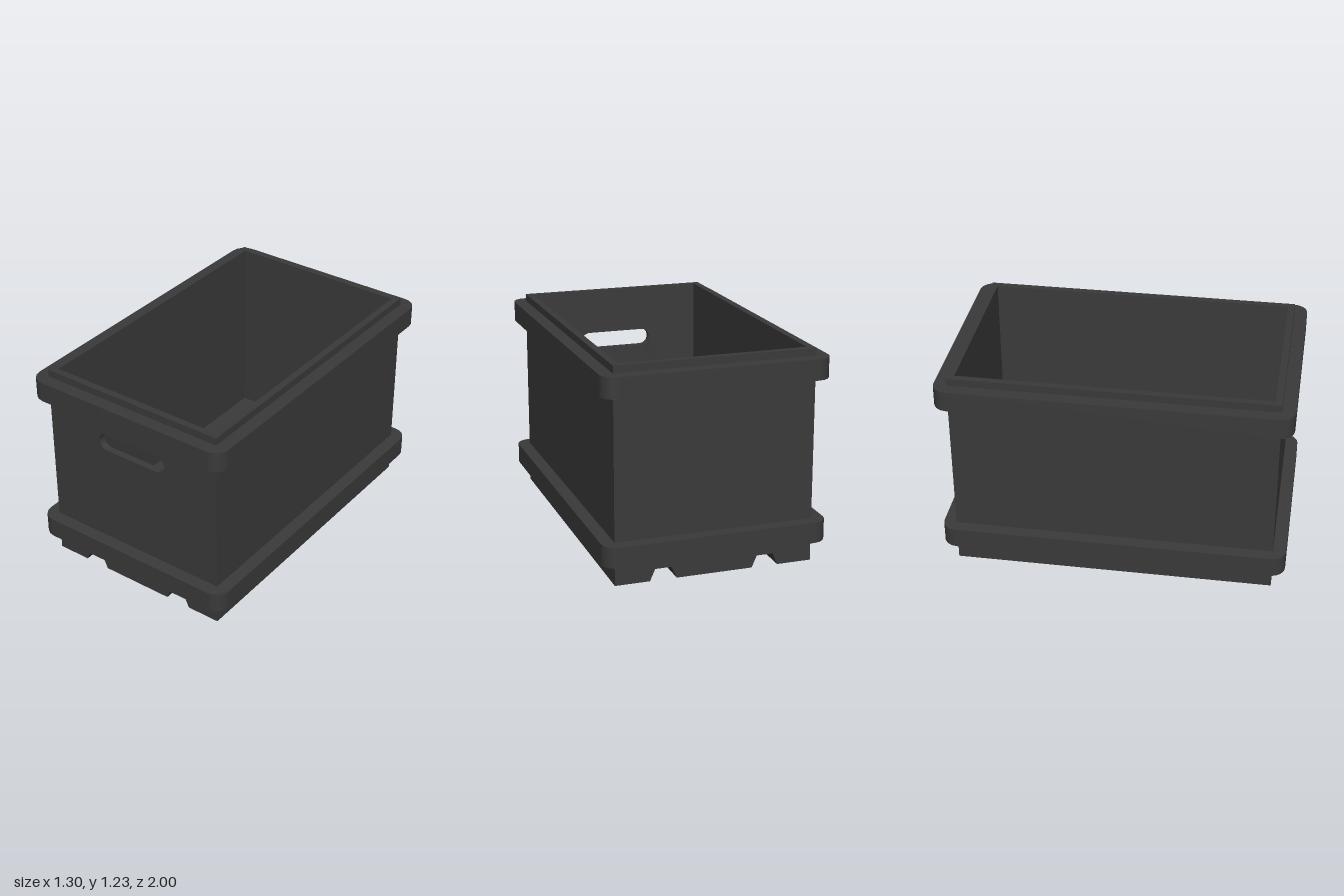
import * as THREE from 'three';

const W = 0.575, L = 0.925, H = 1.23, T = 0.04; // half width, half length, height, wall
const FLOOR = 0.13;

// Front outline with two trapezoid grooves in the underside
function outline(top) {
  const s = new THREE.Shape();
  s.moveTo(-W, 0);
  for (const c of [-0.298, 0.298]) {
    s.lineTo(c - 0.077, 0);
    s.lineTo(c - 0.047, 0.068);
    s.lineTo(c + 0.047, 0.068);
    s.lineTo(c + 0.077, 0);
  }
  s.lineTo(W, 0);
  s.lineTo(W, top);
  s.lineTo(-W, top);
  s.closePath();
  return s;
}

// Band running round the box, corners rounded with two facets and smooth normals
function bandGeometry(height) {
  const x = 0.65, z = 1, r = 0.086, cx = x - r, cz = z - r;
  const s = new THREE.Shape();
  s.moveTo(cx, -z);
  s.absarc(cx, -cz, r, -Math.PI / 2, 0);
  s.absarc(cx, cz, r, 0, Math.PI / 2);
  s.absarc(-cx, cz, r, Math.PI / 2, Math.PI);
  s.absarc(-cx, -cz, r, Math.PI, Math.PI * 1.5);
  s.closePath();
  const bx = W - 0.01, bz = L - 0.01;
  s.holes.push(new THREE.Path([[-bx, -bz], [-bx, bz], [bx, bz], [bx, -bz]]
    .map(p => new THREE.Vector2(...p))));
  const g = new THREE.ExtrudeGeometry(s, { depth: height, bevelEnabled: false, curveSegments: 2 });
  const p = g.attributes.position, n = g.attributes.normal, v = new THREE.Vector3();
  for (let i = 0; i < p.count; i++) {
    const px = p.getX(i), py = p.getY(i);
    const outer = Math.abs(px) > W || Math.abs(py) > L;
    if (!outer || Math.abs(n.getZ(i)) > 0.5) continue;
    v.set(px - THREE.MathUtils.clamp(px, -cx, cx), py - THREE.MathUtils.clamp(py, -cz, cz), 0).normalize();
    n.setXYZ(i, v.x, v.y, 0);
  }
  return g.rotateX(-Math.PI / 2);
}

export function createModel() {
  const group = new THREE.Group();
  const mat = new THREE.MeshStandardMaterial({ color: 0x3a3a3a });
  const add = (name, geo, x = 0, y = 0, z = 0) => {
    const m = new THREE.Mesh(geo, mat);
    m.name = name;
    m.position.set(x, y, z);
    group.add(m);
  };
  const extrude = (shape, depth) =>
    new THREE.ExtrudeGeometry(shape, { depth, bevelEnabled: false, curveSegments: 12 });

  // Grooved floor
  add('floor', extrude(outline(FLOOR), 2 * (L - T)), 0, 0, -(L - T));

  // End walls, the front one with a hand slot
  const front = outline(H), slot = new THREE.Path();
  const r = 0.052, hx = 0.225 - r, hy = 0.904;
  slot.absarc(hx, hy, r, Math.PI / 2, -Math.PI / 2, true);
  slot.absarc(-hx, hy, r, -Math.PI / 2, -Math.PI * 1.5, true);
  slot.closePath();
  front.holes.push(slot);
  add('frontWall', extrude(front, T), 0, 0, L - T);
  add('backWall', extrude(outline(H), T), 0, 0, -L);

  // Side walls
  for (const [name, side] of [['leftWall', 1], ['rightWall', -1]]) {
    add(name, new THREE.BoxGeometry(T, H - FLOOR, 2 * (L - T)), side * (W - T / 2), (H + FLOOR) / 2, 0);
  }

  // Bands
  add('lowerBand', bandGeometry(0.12), 0, 0.13, 0);
  add('upperBand', bandGeometry(0.12), 0, 1.067, 0);
  return group;
}
